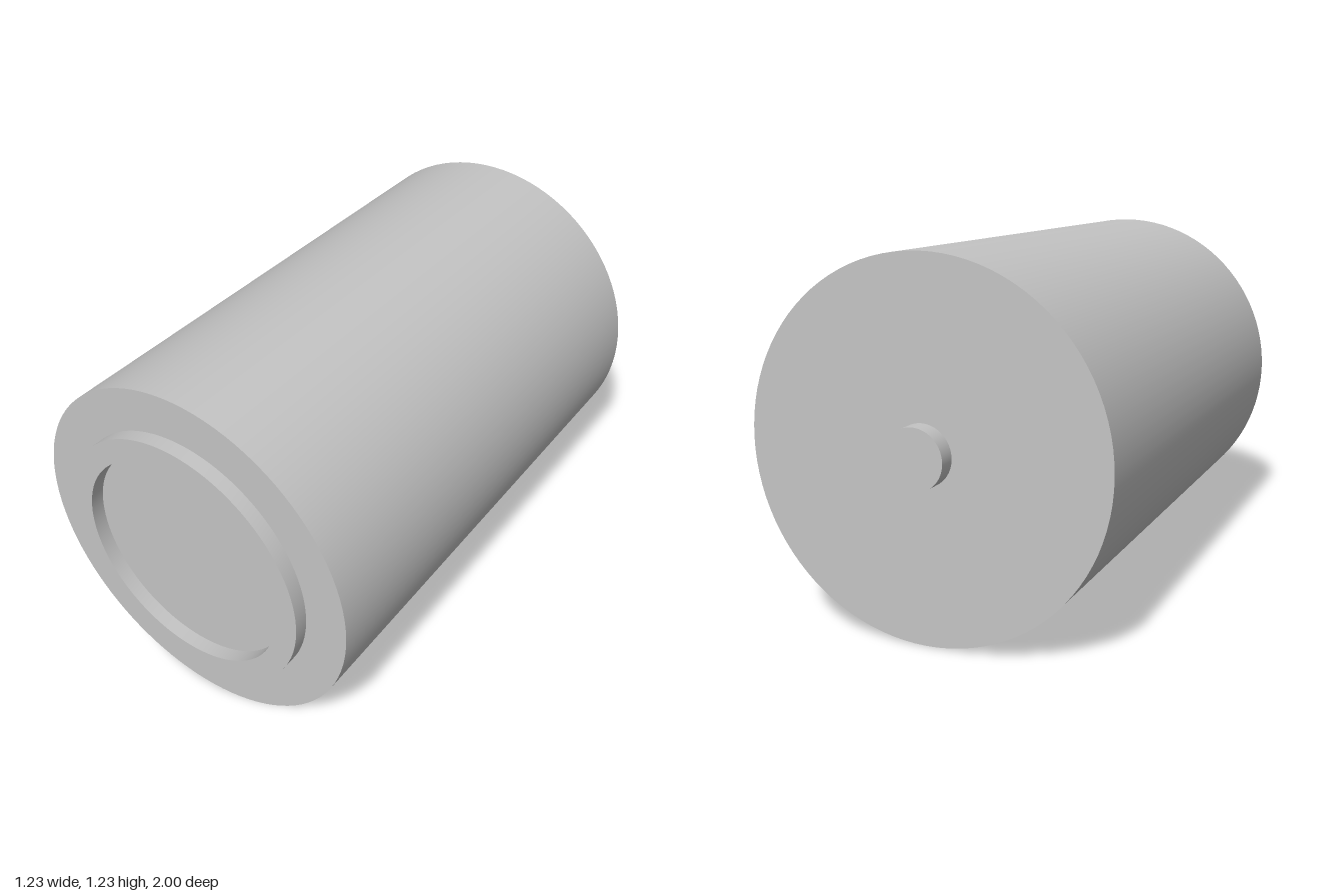
import * as THREE from 'three';
import { toCreasedNormals } from 'three/addons/utils/BufferGeometryUtils.js';

const AXIS_Y = 0.62;
const BODY_FRONT = 0.95;
const BODY_BACK = -0.94;
const SEGMENTS = 96;

export function createModel() {
  const group = new THREE.Group();
  group.name = 'cylinderWithRimAndPin';

  const grey = new THREE.MeshStandardMaterial({ color: 0xc4c4c4 });
  grey.name = 'light grey';

  function addPart(name, geometry, z) {
    geometry.rotateX(Math.PI / 2); // lay the axis along z
    const mesh = new THREE.Mesh(geometry, grey);
    mesh.name = name;
    mesh.position.set(0, AXIS_Y, z);
    group.add(mesh);
  }

  function addCylinder(name, radius, z0, z1) {
    addPart(name, new THREE.CylinderGeometry(radius, radius, z1 - z0, SEGMENTS), (z0 + z1) / 2);
  }

  // Main body
  addCylinder('body', 0.617, BODY_BACK, BODY_FRONT);

  // Small pin at the centre of the back
  addCylinder('backPin', 0.1, -1, BODY_BACK);

  // Raised ring on the front face, open in the middle
  const height = 1 - BODY_FRONT;
  const profile = [[0.467, 0], [0.467, height], [0.388, height], [0.388, 0]]
    .map(([r, h]) => new THREE.Vector2(r, h));
  const ring = toCreasedNormals(new THREE.LatheGeometry(profile, SEGMENTS), Math.PI / 5);
  addPart('frontRing', ring, BODY_FRONT);

  return group;
}
